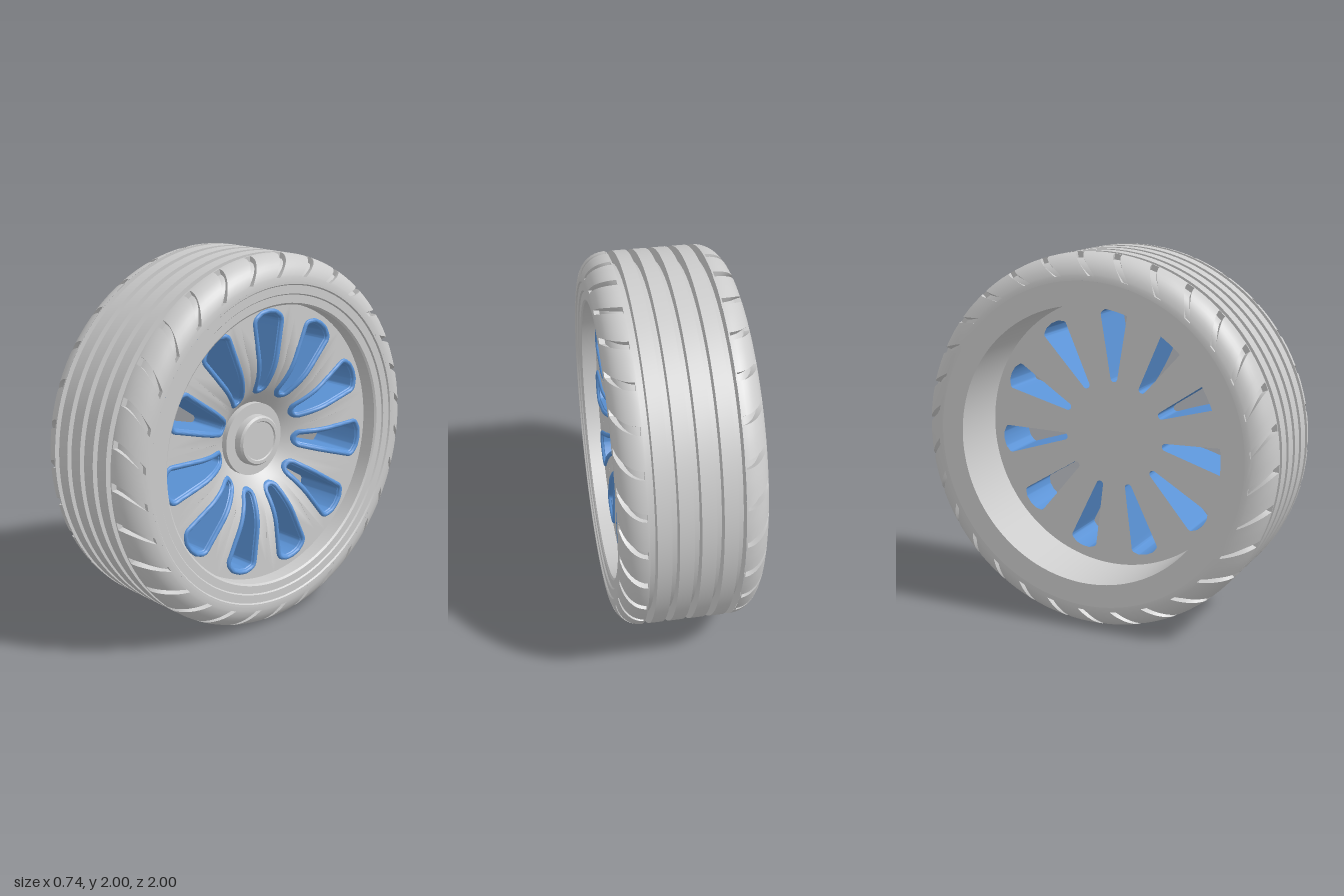
import * as THREE from 'three';
import { toCreasedNormals, mergeGeometries } from 'three/addons/utils/BufferGeometryUtils.js';

const SPOKES = 11, SLOTS = 30, BACK = -0.025, SPOKE_ROOT = 0.262;
const grey = new THREE.MeshStandardMaterial({ color: 0xcccccc });
const blue = new THREE.MeshStandardMaterial({ color: 0x5b93d6 });

// Everything is built with the axle along z, outer side at +z, then turned to +x.
function part(name, geometry, material = grey) {
  const mesh = new THREE.Mesh(geometry, material);
  mesh.name = name;
  return mesh;
}

// Ring turned from [radius, axial position] points
function turned(name, points) {
  const g = new THREE.LatheGeometry(points.map(p => new THREE.Vector2(...p)), 120);
  g.rotateX(Math.PI / 2);
  return part(name, toCreasedNormals(g, 0.45));
}

// Grid of points, closed along the columns; collapsed triangles are dropped
function gridSurface(rows, cols, point, flip) {
  const out = [];
  const tri = new THREE.Triangle();
  const add = (a, b, c) => {
    if (tri.set(a, b, c).getArea() < 1e-8) return;
    for (const p of flip ? [a, c, b] : [a, b, c]) out.push(p.x, p.y, p.z);
  };
  for (let i = 0; i < rows - 1; i++) {
    for (let j = 0; j < cols; j++) {
      const k = (j + 1) % cols;
      const a = point(i, j), b = point(i + 1, j), c = point(i + 1, k), d = point(i, k);
      add(a, b, d);
      add(b, c, d);
    }
  }
  const g = new THREE.BufferGeometry();
  g.setAttribute('position', new THREE.Float32BufferAttribute(out, 3));
  return toCreasedNormals(g, 0.6);
}

// Rounded tyre shoulder with slanted slots sunk into it
function shoulder(side) {
  const rows = [[0, 0], [3, 0], [3, 1]];
  for (let t = 12; t <= 75; t += 9) rows.push([t, 1]);
  rows.push([79, 1], [79, 0], [85, 0], [90, 0]);
  const stations = [[0, 0], [0, 1], [0.042, 1], [0.042, 0], [0.1, 0], [0.155, 0]];
  const pitch = Math.PI * 2 / SLOTS;
  const point = (i, j) => {
    const [deg, slotRow] = rows[i];
    const [offset, slotCol] = stations[j % stations.length];
    const t = THREE.MathUtils.degToRad(deg);
    const depth = slotRow && slotCol ? 0.03 : 0;
    const drop = 0.135 * (1 - Math.cos(t));
    const r = 1 - drop - depth * Math.cos(t);
    const z = 0.234 + 0.136 * Math.sin(t) - depth * Math.sin(t);
    const a = Math.floor(j / stations.length) * pitch + offset - 0.045 - 1.1 * drop;
    return new THREE.Vector3(-r * Math.cos(a), r * Math.sin(a), side * z);
  };
  const name = side > 0 ? 'outerShoulder' : 'innerShoulder';
  return part(name, gridSurface(rows.length, SLOTS * stations.length, point, side < 0));
}

// Outline of the upright window: a slim wedge with a bowed top, grown by a radius
function windowOutline(radius) {
  const corners = [[0, 0.305], [0.057, 0.648], [0.034, 0.663], [0, 0.668], [-0.034, 0.663], [-0.057, 0.648]]
    .map(p => new THREE.Vector2(...p));
  const n = corners.length, points = [];
  const edge = i => corners[(i + 1) % n].clone().sub(corners[i % n]);
  const normalAngle = i => Math.atan2(-edge(i).x, edge(i).y);
  const grow = a => new THREE.Vector2(Math.cos(a), Math.sin(a)).multiplyScalar(radius);
  for (let i = 0; i < n; i++) {
    const a0 = normalAngle(i + n - 1), a1 = normalAngle(i % n);
    const sweep = (a1 - a0 + Math.PI * 4) % (Math.PI * 2);
    const arcSteps = Math.ceil(sweep / 0.3);
    for (let k = 0; k <= arcSteps; k++) points.push(corners[i].clone().add(grow(a0 + sweep * k / arcSteps)));
    const steps = edge(i).length() > 0.2 ? 10 : 1;
    for (let k = 1; k < steps; k++) {
      points.push(corners[i].clone().addScaledVector(edge(i), k / steps).add(grow(a1)));
    }
  }
  return points;
}

// Dished height of the wheel face, and its slope
const dish = r => 0.265 - 0.135 * Math.pow(Math.max(0, 0.48 - r) / 0.28, 2);
const dishSlope = r => 0.27 * Math.max(0, 0.48 - r) / (0.28 * 0.28);

// Flat plate of equal sectors, each with one window, closed by a ring at the hub
function spokePlate(holeRadius, hubRadius) {
  const half = Math.PI / SPOKES, outer = 0.75, points = [];
  const at = (r, a) => points.push(new THREE.Vector2(r * Math.sin(-a), r * Math.cos(a)));
  for (let k = 0; k < 8; k++) at(outer, half * (k / 4 - 1));
  for (let k = 0; k < 14; k++) at(outer + (SPOKE_ROOT - outer) * k / 14, half);
  for (let k = 0; k < 8; k++) at(SPOKE_ROOT, half * (1 - k / 4));
  for (let k = 0; k < 14; k++) at(SPOKE_ROOT + (outer - SPOKE_ROOT) * k / 14, -half);
  const shape = new THREE.Shape(points);
  shape.holes.push(new THREE.Path(windowOutline(holeRadius)));
  const pieces = [new THREE.RingGeometry(hubRadius, SPOKE_ROOT, 8 * SPOKES, 4)];
  for (let k = 0; k < SPOKES; k++) pieces.push(new THREE.ShapeGeometry(shape).rotateZ(2 * half * k));
  return mergeGeometries(pieces);
}

function spokeFace() {
  const g = spokePlate(0.035, 0.18);
  const { position, normal } = g.attributes;
  const n = new THREE.Vector3();
  for (let i = 0; i < position.count; i++) {
    const x = position.getX(i), y = position.getY(i), r = Math.hypot(x, y), s = dishSlope(r);
    position.setZ(i, dish(r));
    n.set(-s * x / r, -s * y / r, 1).normalize();
    normal.setXYZ(i, n.x, n.y, n.z);
  }
  return part('spokeFace', g);
}

// Blue rounded lip with the window wall behind it: [growth, height above the face]
function windowFrameGeometry() {
  const section = [];
  for (let k = 0; k <= 8; k++) {
    const a = Math.PI * k / 8;
    section.push([0.038 + 0.013 * Math.cos(a), 0.014 * Math.sin(a) - 0.002]);
  }
  section.push([0.02, -0.006], [0.02, null]);
  const loops = section.map(s => windowOutline(s[0]));
  const point = (i, j) => {
    const p = loops[i][j], h = section[i][1];
    return new THREE.Vector3(p.x, p.y, h === null ? BACK : dish(p.length()) + h);
  };
  return gridSurface(section.length, loops[0].length, point, true);
}

export function createModel() {
  const wheel = new THREE.Group();
  wheel.name = 'wheel';

  // Tyre: grooved tread, two slotted shoulders
  const tread = [];
  for (const c of [-0.215, -0.108, 0, 0.108, 0.215]) {
    tread.push([1, c - 0.018], [0.935, c - 0.018], [0.935, c + 0.018], [1, c + 0.018]);
  }
  wheel.add(turned('tread', tread), shoulder(1), shoulder(-1));

  // Side wall steps and rim barrel, outside and inside
  wheel.add(turned('outerSidewallAndRim', [[0.865, 0.37], [0.853, 0.37], [0.847, 0.362], [0.803, 0.362],
    [0.797, 0.354], [0.755, 0.354], [0.745, 0.346], [0.745, 0.26]]));
  wheel.add(turned('innerSidewallAndBarrel', [[0.74, BACK], [0.74, -0.37], [0.865, -0.37]]));

  // Dished spokes, flat back and window frames
  const back = spokePlate(0.02, 0).rotateY(Math.PI).translate(0, 0, BACK);
  wheel.add(spokeFace(), part('spokeBack', back));
  const frame = windowFrameGeometry();
  for (let k = 0; k < SPOKES; k++) {
    const mesh = part('windowFrame', frame, blue);
    mesh.rotation.z = k * Math.PI * 2 / SPOKES;
    wheel.add(mesh);
  }

  // Hub plate and cap
  wheel.add(turned('hub', [[0.197, 0.11], [0.197, 0.16], [0.137, 0.16], [0.135, 0.2], [0.125, 0.212],
    [0.108, 0.212], [0.103, 0.205], [0, 0.205]]));

  wheel.rotation.y = Math.PI / 2;
  wheel.position.y = 1;
  const model = new THREE.Group();
  model.name = 'carWheel';
  model.add(wheel);
  return model;
}
